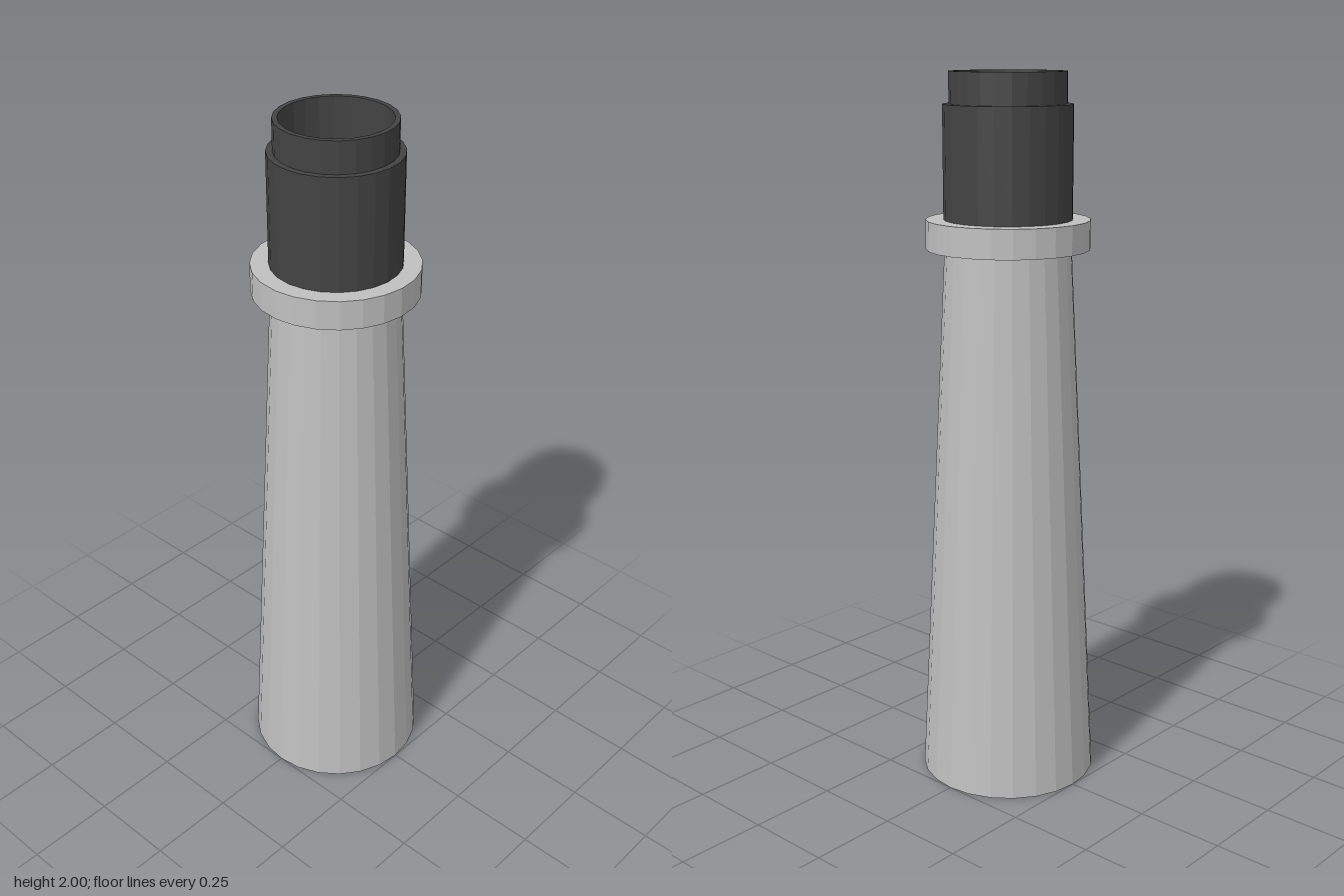
import * as THREE from 'three';

const SIDES = 24;

export function createModel() {
  const model = new THREE.Group();
  model.name = 'taperedTube';

  const lightGrey = new THREE.MeshStandardMaterial({ color: 0xc0c0c0 });
  lightGrey.name = 'light grey';
  const charcoal = new THREE.MeshStandardMaterial({ color: 0x434343 });
  charcoal.name = 'charcoal';
  lightGrey.flatShading = charcoal.flatShading = true;

  // Spins a closed [radius, height] outline, listed counter-clockwise, into a hollow part
  function ring(name, material, outline) {
    const points = [...outline, outline[0]].map(([r, y]) => new THREE.Vector2(r, y));
    const mesh = new THREE.Mesh(new THREE.LatheGeometry(points, SIDES), material);
    mesh.name = name;
    model.add(mesh);
  }

  // Long tapered body with an open bore
  ring('body', lightGrey, [[0.208, 0], [0.25, 0], [0.174, 1.53], [0.145, 1.53]]);

  // Flange around the top of the body
  ring('collar', lightGrey, [[0.145, 1.53], [0.225, 1.53], [0.225, 1.61], [0.145, 1.61]]);

  // Dark sleeve stepping in to a narrower lip
  ring('sleeve', charcoal, [
    [0.145, 1.61], [0.176, 1.61], [0.176, 1.915],
    [0.159, 1.915], [0.159, 2], [0.145, 2],
  ]);

  return model;
}
